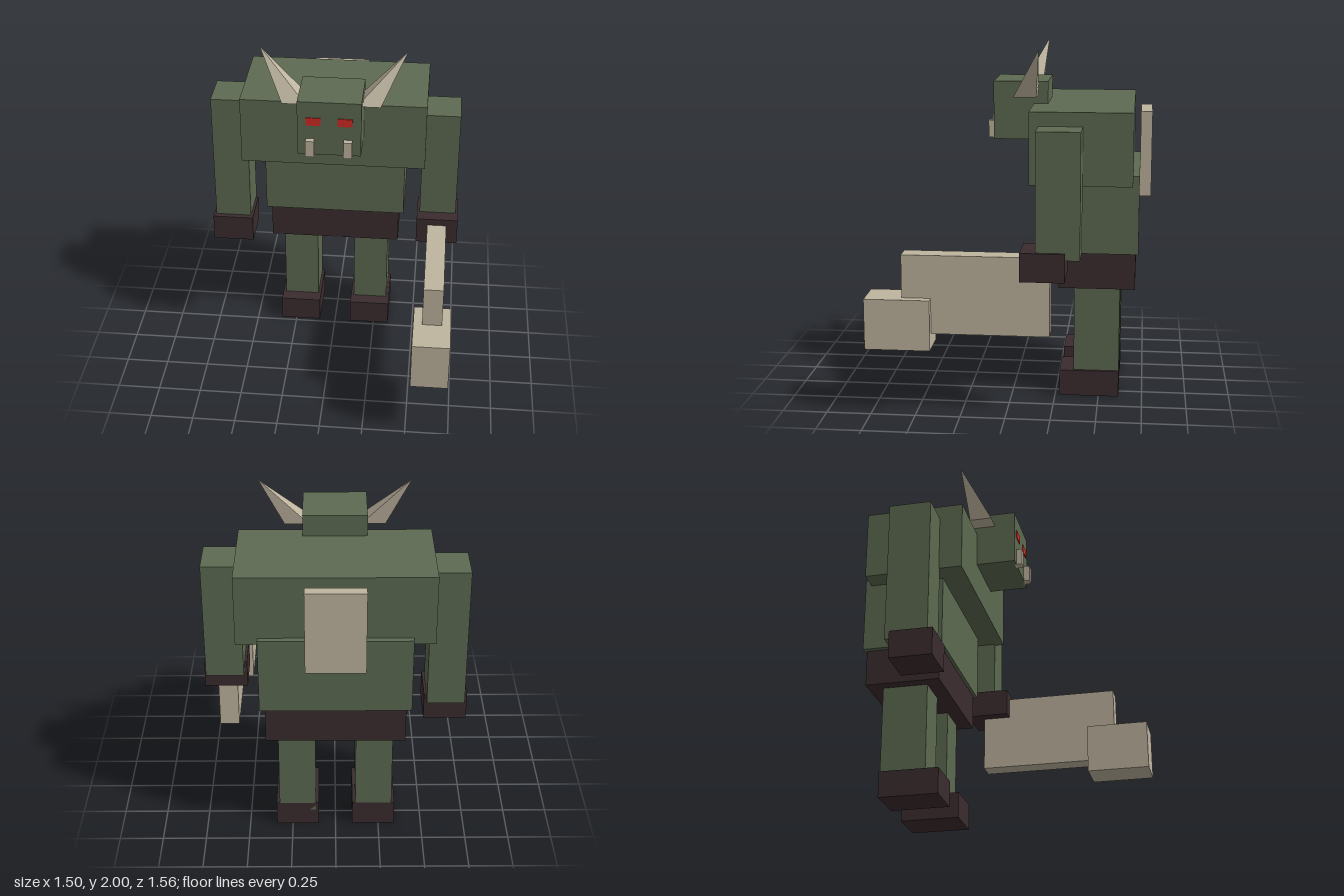
import * as THREE from 'three';
import { ConvexGeometry } from 'three/addons/geometries/ConvexGeometry.js';

const material = (name, color) => {
  const m = new THREE.MeshStandardMaterial({ color });
  m.name = name;
  return m;
};

export function createModel() {
  const model = new THREE.Group();
  model.name = 'hornedBrute';

  const skin = material('green skin', 0x5d6a51);
  const leather = material('dark leather', 0x3b2c2e);
  const bone = material('pale bone', 0xbfb5a0);
  const red = material('red eye', 0xd02b24);

  const add = (name, geometry, mat) => {
    const mesh = new THREE.Mesh(geometry, mat);
    mesh.name = name;
    model.add(mesh);
    return mesh;
  };
  // Box given by its [min, max] extent on each axis
  const box = (name, mat, [x0, x1], [y0, y1], [z0, z1]) =>
    add(name, new THREE.BoxGeometry(x1 - x0, y1 - y0, z1 - z0), mat)
      .position.set((x0 + x1) / 2, (y0 + y1) / 2, (z0 + z1) / 2);
  // Mirrors an x extent for the right side
  const side = (s, a, b) => (s > 0 ? [a, b] : [-b, -a]);

  // Torso and head
  box('hips', leather, [-0.39, 0.39], [0.655, 0.865], [-0.7, -0.27]);
  box('belly', skin, [-0.42, 0.42], [0.865, 1.31], [-0.715, -0.25]);
  box('chest', skin, [-0.54, 0.54], [1.27, 1.675], [-0.68, -0.11]);
  box('backPlate', bone, [-0.165, 0.165], [1.15, 1.635], [-0.78, -0.715]);
  box('head', skin, [-0.18, 0.18], [1.47, 1.8], [-0.19, 0.12]);

  for (const s of [1, -1]) {
    const label = s > 0 ? 'left' : 'right';

    // Face
    box(label + 'Eye', red, side(s, 0.047, 0.132), [1.655, 1.703], [0.118, 0.125]);
    box(label + 'Tusk', bone, side(s, 0.083, 0.132), [1.47, 1.57], [0.11, 0.155]);

    // Horn: a square-based pyramid leaning outwards and back
    const corners = [[0.145, 1.72, 0], [0.28, 1.72, 0], [0.28, 1.72, -0.13], [0.145, 1.72, -0.13], [0.42, 2, -0.155]];
    add(label + 'Horn', new ConvexGeometry(corners.map(([x, y, z]) => new THREE.Vector3(s * x, y, z))), bone);

    // Legs
    box(label + 'Leg', skin, side(s, 0.115, 0.325), [0.1, 0.66], [-0.615, -0.355]);
    box(label + 'Foot', leather, side(s, 0.098, 0.343), [0, 0.15], [-0.615, -0.275]);

    // Arms: the left one is raised and forward to hold the club
    const lift = s > 0 ? 0.14 : 0;
    const reach = s > 0 ? 0.08 : 0;
    const handReach = s > 0 ? 0.13 : 0;
    box(label + 'Arm', skin, side(s, 0.52, 0.735), [0.76 + lift, 1.597], [-0.485 + reach, -0.243 + reach]);
    box(label + 'Hand', leather, side(s, 0.505, 0.75), [0.64 + lift, 0.8 + lift], [-0.455 + handReach, -0.21 + handReach]);
  }

  // Club
  box('clubShaft', bone, [0.57, 0.683], [0.455, 0.9], [-0.24, 0.577]);
  box('clubHead', bone, [0.52, 0.733], [0.37, 0.657], [0.415, 0.78]);

  return model;
}
